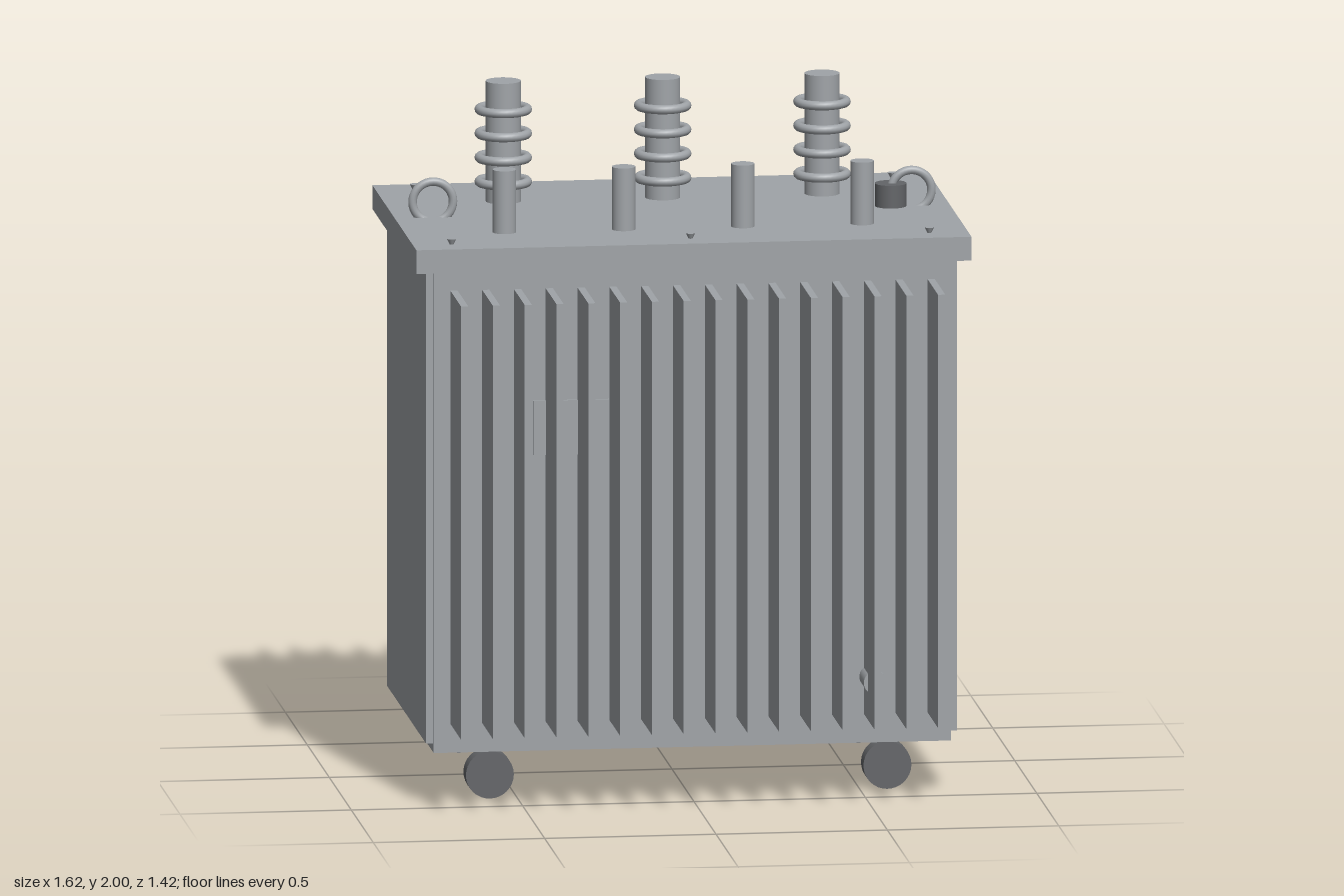
import * as THREE from 'three';

export function createModel() {
  const model = new THREE.Group();
  model.name = 'powerTransformer';

  const grey = new THREE.MeshStandardMaterial({ color: 0xa0a4a8 });
  grey.name = 'tank grey';
  const dark = new THREE.MeshStandardMaterial({ color: 0x636568 });
  dark.name = 'dark grey';

  const add = (name, geometry, x, y, z, material = grey, parent = model) => {
    const mesh = new THREE.Mesh(geometry, material);
    mesh.name = name;
    mesh.position.set(x, y, z);
    parent.add(mesh);
    return mesh;
  };
  const box = (w, h, d) => new THREE.BoxGeometry(w, h, d);
  const cylinder = (r, h, bottom = r) => new THREE.CylinderGeometry(r, bottom, h, 32);

  // Tank, raised end panels and overhanging lid
  add('tank', box(1.51, 1.42, 0.93), 0, 0.865, 0);
  for (const s of [-1, 1]) add('endPanel', box(0.03, 1.395, 0.89), s * 0.76, 0.8775, 0);
  add('lid', box(1.62, 0.07, 1), 0, 1.61, 0);

  // Cooling fins on front and back
  const finGeometry = box(0.021, 1.277, 0.25);
  for (const s of [-1, 1]) {
    for (let i = 0; i < 16; i++) {
      add('coolingFin', finGeometry, -0.696 + i * 0.0928, 0.8785, s * 0.583);
    }
  }

  // High voltage bushings: a core with four rings
  const coreGeometry = cylinder(0.051, 0.36);
  const ringGeometry = new THREE.TorusGeometry(0.07, 0.0135, 12, 36).rotateX(Math.PI / 2);
  for (const x of [-0.465, 0, 0.465]) {
    const bushing = new THREE.Group();
    bushing.name = 'highVoltageBushing';
    bushing.position.set(x, 1.64, -0.213);
    add('bushingCore', coreGeometry, 0, 0.18, 0, grey, bushing);
    for (let i = 0; i < 4; i++) add('bushingRing', ringGeometry, 0, 0.063 + i * 0.071, 0, grey, bushing);
    model.add(bushing);
  }

  // Low voltage posts
  const postGeometry = cylinder(0.034, 0.19);
  for (let i = 0; i < 4; i++) add('lowVoltagePost', postGeometry, -0.522 + i * 0.348, 1.735, 0.255);

  // Lid bolts, flared towards the top
  const boltGeometry = cylinder(0.014, 0.018, 0.005);
  for (const x of [-0.697, 0, 0.697]) {
    for (const z of [-0.42, 0.42]) add('lidBolt', boltGeometry, x, 1.652, z);
  }

  // Lifting eyes
  const eyeGeometry = new THREE.TorusGeometry(0.059, 0.0125, 12, 36);
  for (const s of [-1, 1]) add('liftingEye', eyeGeometry, s * 0.698, 1.69, 0);

  // Filler cap, drain valve and rating plate
  add('fillerCap', cylinder(0.046, 0.07), 0.638, 1.677, 0, dark);
  add('drainValve', cylinder(0.034, 0.11).rotateX(Math.PI / 2), 0.521, 0.35, 0.511);
  add('ratingPlate', box(0.222, 0.16, 0.009), -0.354, 1.107, 0.4685);

  // Wheels
  const wheelGeometry = cylinder(0.07, 0.057).rotateX(Math.PI / 2);
  for (const x of [-0.58, 0.58]) {
    for (const z of [-0.35, 0.35]) add('wheel', wheelGeometry, x, 0.07, z, dark);
  }

  return model;
}
